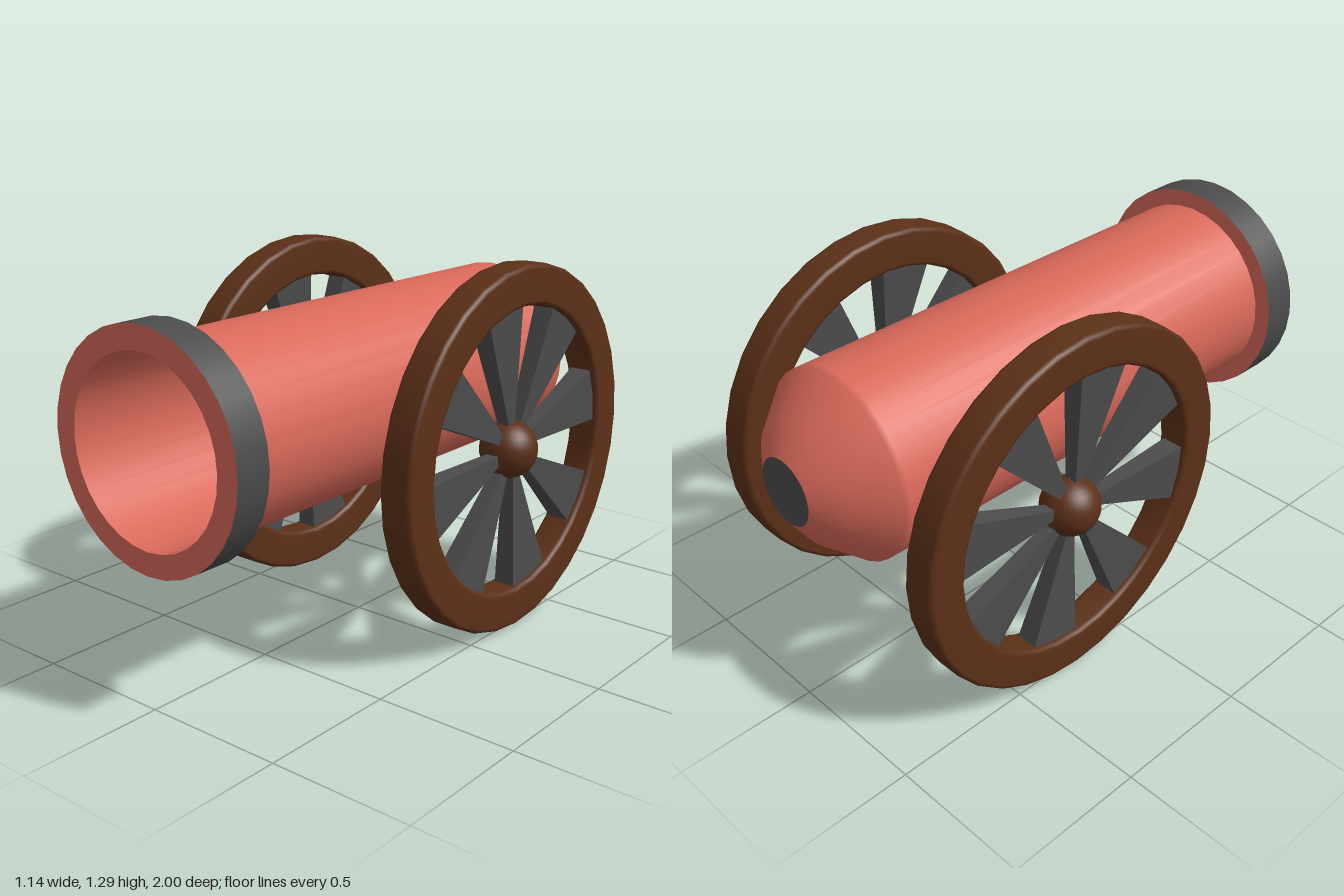
import * as THREE from 'three';

const red = new THREE.MeshStandardMaterial({ color: 0xd9695a });
const iron = new THREE.MeshStandardMaterial({ color: 0x4c4c4c });
const wood = new THREE.MeshStandardMaterial({ color: 0x5c3018 });

const AXIS_Y = 0.84, SIDES = 32;

function add(parent, name, geometry, material) {
  const mesh = new THREE.Mesh(geometry, material);
  mesh.name = name;
  parent.add(mesh);
  return mesh;
}

// Surface of revolution from [radius, distance along axis] pairs
function lathe(profile) {
  return new THREE.LatheGeometry(profile.map(([r, a]) => new THREE.Vector2(r, a)), SIDES);
}

function createBarrel() {
  const barrel = new THREE.Group();
  barrel.name = 'barrel';
  const turn = (name, profile, material) => add(barrel, name, lathe(profile).rotateX(Math.PI / 2), material);

  turn('breechCap', [[0, -1], [0.116, -1]], iron);
  turn('tube', [[0.116, -1], [0.216, -0.935], [0.33, -0.805], [0.33, -0.78], [0.33, 0.87]], red);
  turn('muzzleRingBack', [[0.33, 0.87], [0.39, 0.87]], red);
  turn('muzzleRingBand', [[0.39, 0.87], [0.39, 1]], iron);
  turn('muzzleFace', [[0.39, 1], [0.31, 1]], red);
  turn('bore', [[0.31, 1], [0.31, -0.8]], red);
  turn('boreBottom', [[0.31, -0.8], [0, -0.8]], red);
  barrel.position.y = AXIS_Y;
  return barrel;
}

// Wedge spoke: a box reshaped so that it widens and thickens outward
function spokeGeometry() {
  const geometry = new THREE.BoxGeometry(1, 1, 1);
  const p = geometry.attributes.position;
  for (let i = 0; i < p.count; i++) {
    const outer = p.getY(i) > 0;
    const r = outer ? 0.535 : 0.04;
    const angle = p.getZ(i) > 0 ? Math.PI / 8 : 0;
    p.setXYZ(i, Math.sign(p.getX(i)) * (outer ? 0.04 : 0.02), r * Math.cos(angle), r * Math.sin(angle));
  }
  geometry.computeVertexNormals();
  return geometry;
}

function createWheel(name, x) {
  const wheel = new THREE.Group();
  wheel.name = name;

  // Rim with softened corners
  const inner = 0.505, outer = 0.645, h = 0.06, b = 0.016;
  const rim = lathe([
    [inner, 0], [inner, -h + b], [inner + 0.005, -h + 0.005], [inner + b, -h],
    [outer - b, -h], [outer - 0.005, -h + 0.005], [outer, -h + b],
    [outer, h - b], [outer - 0.005, h - 0.005], [outer - b, h],
    [inner + b, h], [inner + 0.005, h - 0.005], [inner, h - b], [inner, 0],
  ]);
  add(wheel, 'rim', rim.rotateZ(Math.PI / 2), wood);
  add(wheel, 'hub', new THREE.SphereGeometry(0.102, 32, 16), wood);

  const spoke = spokeGeometry();
  for (let i = 0; i < 8; i++) add(wheel, 'spoke', spoke, iron).rotation.x = i * Math.PI / 4;

  wheel.position.set(x, 0.647, -0.245);
  return wheel;
}

export function createModel() {
  const model = new THREE.Group();
  model.name = 'cannon';
  model.add(createBarrel(), createWheel('leftWheel', 0.469), createWheel('rightWheel', -0.469));
  return model;
}
